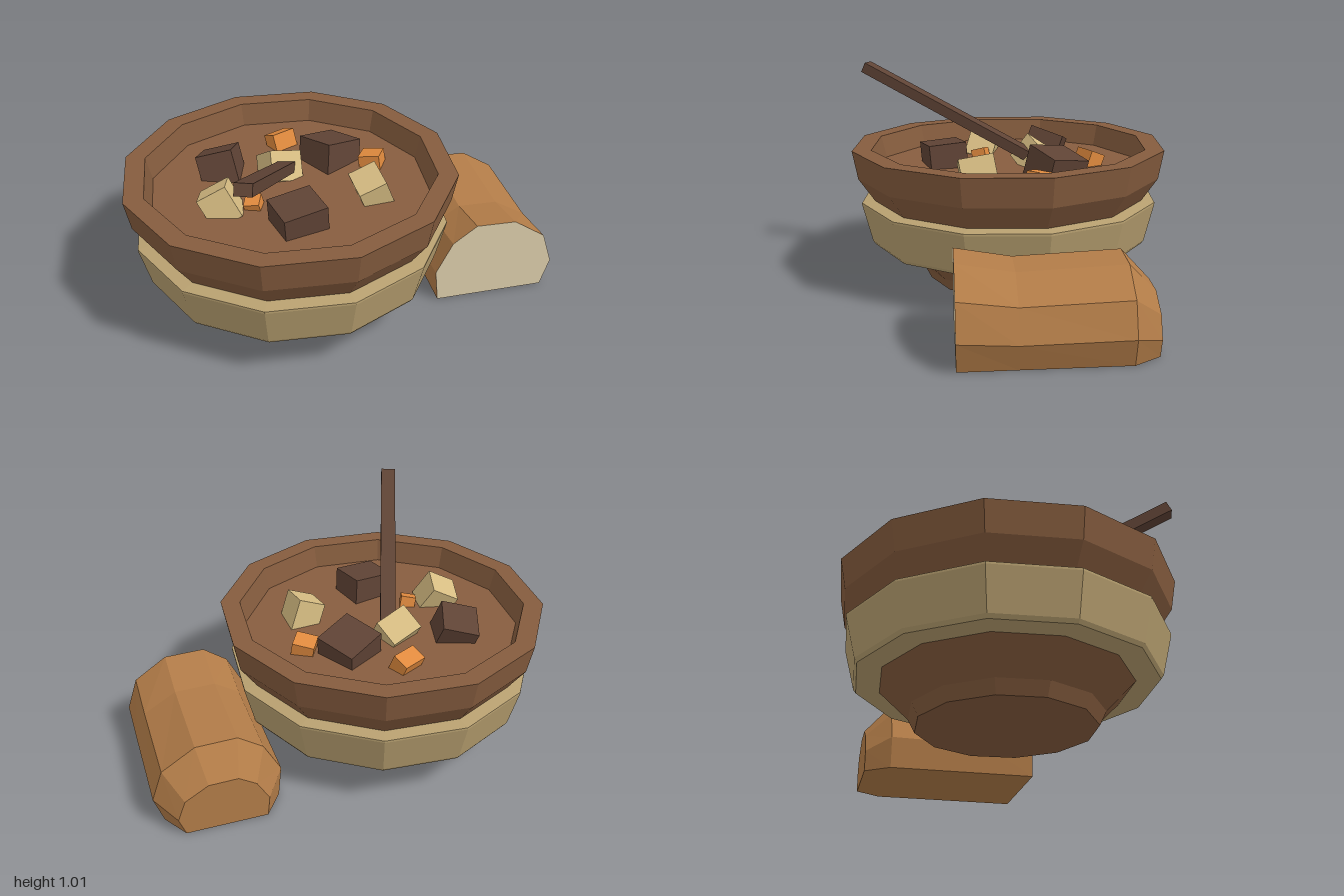
import * as THREE from 'three';

const mat = (name, color, side = THREE.FrontSide) =>
  new THREE.MeshStandardMaterial({ name, color, side, flatShading: true });

// Un-share vertices so every facet gets its own normal
function flat(geometry) {
  const g = geometry.index ? geometry.toNonIndexed() : geometry;
  g.computeVertexNormals();
  return g;
}

function add(parent, name, geometry, material) {
  const mesh = new THREE.Mesh(flat(geometry), material);
  mesh.name = name;
  parent.add(mesh);
  return mesh;
}

const lathe = (pts) =>
  new THREE.LatheGeometry(pts.map(([r, y]) => new THREE.Vector2(r, y)), 12);

// Loaf crust: one arched outline, scaled ring by ring along -z
function loafGeometries(outline, rings) {
  const n = outline.length;
  const ringPts = rings.map(({ z, sx, sy, dx = 0 }) =>
    outline.map(([x, y]) => [x * sx + dx, y * sy, z]));
  const crust = [];
  for (let r = 0; r < rings.length - 1; r++) {
    for (let i = 0; i < n; i++) {
      const j = (i + 1) % n;
      const a = ringPts[r][i], b = ringPts[r][j];
      const c = ringPts[r + 1][j], d = ringPts[r + 1][i];
      crust.push(...a, ...b, ...c, ...a, ...c, ...d);
    }
  }
  const last = ringPts[rings.length - 1];
  const cut = [];
  for (let i = 1; i < n - 1; i++) {
    crust.push(...last[0], ...last[i], ...last[i + 1]);
    cut.push(...ringPts[0][0], ...ringPts[0][i + 1], ...ringPts[0][i]);
  }
  return [crust, cut].map((p) => new THREE.BufferGeometry()
    .setAttribute('position', new THREE.Float32BufferAttribute(p, 3)));
}

export function createModel() {
  const model = new THREE.Group();
  model.name = 'stewBowlWithBread';

  const wood = mat('bowl wood', 0x855c3e);
  const bandMat = mat('pale band', 0xb8a070);
  const soupMat = mat('stew broth', 0x875d3f);
  const dark = mat('dark brown', 0x5f4335);
  const potato = mat('potato', 0xd6bc82);
  const carrot = mat('carrot', 0xe08a3e);
  const crustMat = mat('bread crust', 0xb27c48);
  const crumb = mat('bread crumb', 0xdccdab);

  // Bowl, band and broth share one axis
  const bowl = new THREE.Group();
  bowl.name = 'bowl';
  bowl.position.x = -0.25;
  model.add(bowl);
  add(bowl, 'bowlShell', lathe([
    [0, 0], [0.39, 0], [0.42, 0.06], [0.55, 0.19], [0.65, 0.405],
    [0.725, 0.515], [0.75, 0.65], [0.66, 0.65], [0.63, 0.53],
  ]), wood);
  add(bowl, 'bowlBand', lathe([
    [0.54, 0.19], [0.655, 0.193], [0.667, 0.21], [0.712, 0.39], [0.712, 0.4], [0.64, 0.408],
  ]), bandMat);
  add(bowl, 'broth', lathe([[0.64, 0.545], [0, 0.545]]), soupMat);

  // Floating chunks: name, material, [w, h, d], position, rotation
  const chunks = [
    ['meat', dark, [0.17, 0.17, 0.17], [-0.49, 0.565, -0.25], [-0.35, -0.5, 0.1]],
    ['meat', dark, [0.2, 0.17, 0.2], [0.01, 0.565, -0.155], [-0.15, 0.35, -0.15]],
    ['meat', dark, [0.2, 0.18, 0.18], [-0.33, 0.565, 0.3], [0.06, 0.06, 0.07]],
    ['potato', potato, [0.14, 0.15, 0.14], [-0.59, 0.57, 0.05], [-0.25, -0.4, 0.4]],
    ['potato', potato, [0.16, 0.14, 0.13], [-0.25, 0.57, -0.13], [-0.6, 0.25, -0.15]],
    ['potato', potato, [0.13, 0.16, 0.16], [0.055, 0.57, 0.22], [0.15, -0.1, 0.4]],
    ['carrot', carrot, [0.12, 0.09, 0.08], [-0.15, 0.565, -0.375], [-0.4, 0.25, 0.1]],
    ['carrot', carrot, [0.1, 0.08, 0.1], [0.175, 0.56, -0.035], [-0.1, -0.7, 0.1]],
    ['carrot', carrot, [0.07, 0.07, 0.07], [-0.455, 0.55, 0.09], [0.3, -0.5, 0.3]],
  ];
  for (const [name, material, size, pos, rot] of chunks) {
    const chunk = add(model, name + 'Chunk', new THREE.BoxGeometry(...size), material);
    chunk.position.set(...pos);
    chunk.rotation.set(...rot);
  }

  // Spoon handle leaning on the rim, with its tip in the broth
  const top = new THREE.Vector3(-0.665, 0.99, 0.625);
  const tip = new THREE.Vector3(-0.2, 0.565, -0.14);
  const handle = add(model, 'spoonHandle',
    new THREE.BoxGeometry(0.07, 0.05, top.distanceTo(tip)), dark);
  handle.position.copy(top).add(tip).multiplyScalar(0.5);
  handle.lookAt(top);

  // Half loaf with a pale cut face, resting against the bowl
  const bread = new THREE.Group();
  bread.name = 'bread';
  bread.position.set(0.585, 0, 0.445);
  bread.rotation.y = -0.183;
  model.add(bread);
  const outline = [
    [-0.27, 0], [-0.285, 0.155], [-0.21, 0.305], [-0.1, 0.385],
    [0.085, 0.38], [0.235, 0.28], [0.285, 0.13], [0.245, 0],
  ];
  const [crust, cut] = loafGeometries(outline, [
    { z: 0, sx: 1, sy: 1 },
    { z: -0.24, sx: 1, sy: 0.89 },
    { z: -0.69, sx: 1, sy: 0.94 },
    { z: -0.805, sx: 0.7, sy: 0.62 },
  ]);
  add(bread, 'breadCrust', crust, crustMat);
  add(bread, 'breadCutFace', cut, crumb);

  return model;
}
